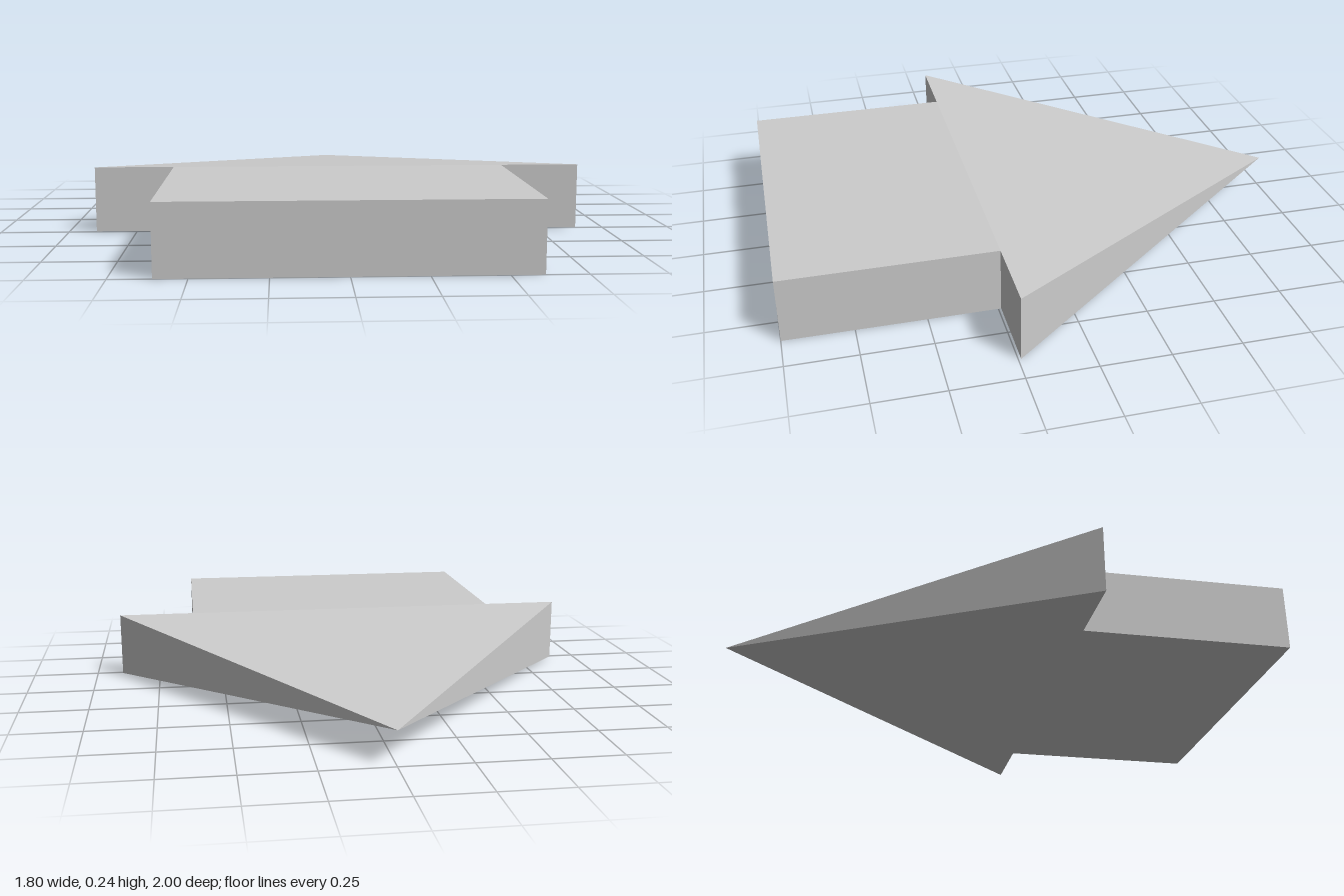
import * as THREE from 'three';

const THICKNESS = 0.24;
const SHOULDER_Z = 0.24; // where the shaft meets the head

export function createModel() {
  const model = new THREE.Group();
  model.name = 'arrow';
  const grey = new THREE.MeshStandardMaterial({ color: 0xcccccc });
  grey.name = 'light grey';

  // Rectangular shaft
  const shaftLength = 1 - SHOULDER_Z;
  const shaft = new THREE.Mesh(new THREE.BoxGeometry(1.22, THICKNESS, shaftLength), grey);
  shaft.name = 'shaft';
  shaft.position.set(0, THICKNESS / 2, SHOULDER_Z + shaftLength / 2);
  model.add(shaft);

  // Head: four-sided pyramid with a wide flat base, tapering to a point at the back
  const headLength = 1 + SHOULDER_Z;
  const headGeometry = new THREE.ConeGeometry(Math.SQRT1_2, 1, 4, 1, false, Math.PI / 4)
    .rotateX(-Math.PI / 2)
    .scale(1.8, THICKNESS, headLength)
    .toNonIndexed();
  headGeometry.computeVertexNormals();
  const head = new THREE.Mesh(headGeometry, grey);
  head.name = 'arrowhead';
  head.position.set(0, THICKNESS / 2, SHOULDER_Z - headLength / 2);
  model.add(head);

  return model;
}
